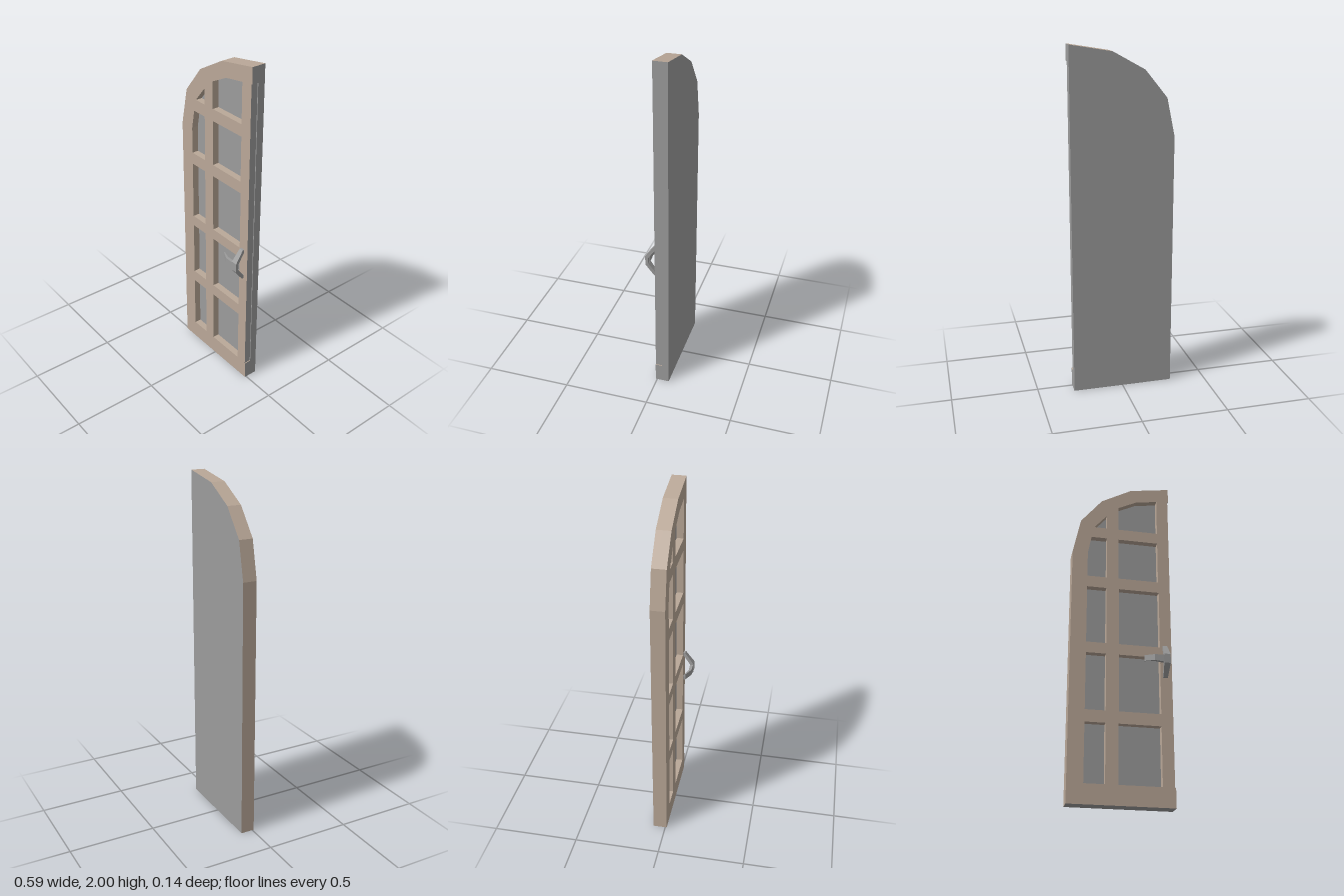
import * as THREE from 'three';

const wood = new THREE.MeshStandardMaterial({ color: 0xbaa898 });
wood.name = 'pale wood';
const grey = new THREE.MeshStandardMaterial({ color: 0x9c9c9c });
grey.name = 'grey metal';

const points = (list) => list.map(([x, y]) => new THREE.Vector2(x, y));

// Half arch, running from the top right corner round to the left foot
const arch = [[0.292, 2], [0.055, 1.96], [-0.125, 1.86], [-0.25, 1.705], [-0.295, 1.49], [-0.295, 0]];

function slab(name, outline, holes, z0, z1, isGrey) {
  const shape = new THREE.Shape(points(outline));
  shape.holes = holes.map((h) => new THREE.Path(points(h)));
  const geo = new THREE.ExtrudeGeometry(shape, { depth: z1 - z0, bevelEnabled: false });
  geo.translate(0, 0, z0);
  // Give each face its material by position and direction
  geo.clearGroups();
  const p = geo.attributes.position, n = geo.attributes.normal;
  for (let i = 0; i < p.count; i += 3) {
    const x = (p.getX(i) + p.getX(i + 1) + p.getX(i + 2)) / 3;
    const y = (p.getY(i) + p.getY(i + 1) + p.getY(i + 2)) / 3;
    const plain = (n.getX(i) > 0.9 && x > 0.28) || (n.getY(i) < -0.9 && y < 0.01);
    geo.addGroup(i, 3, plain || isGrey(n.getZ(i)) ? 1 : 0);
  }
  const mesh = new THREE.Mesh(geo, [wood, grey]);
  mesh.name = name;
  return mesh;
}

// Joins four-cornered cross-sections into a closed, flat-shaded solid
function loft(name, sections) {
  const pos = [];
  const quad = (a, b, c, d) => pos.push(...a, ...b, ...c, ...a, ...c, ...d);
  for (let s = 0; s < sections.length - 1; s++) {
    const A = sections[s], B = sections[s + 1];
    for (let i = 0; i < 4; i++) {
      const j = (i + 1) % 4;
      quad(A[i], A[j], B[j], B[i]);
    }
  }
  quad(...[...sections[0]].reverse());
  quad(...sections[sections.length - 1]);
  const geo = new THREE.BufferGeometry();
  geo.setAttribute('position', new THREE.Float32BufferAttribute(pos, 3));
  geo.computeVertexNormals();
  const mesh = new THREE.Mesh(geo, grey);
  mesh.name = name;
  return mesh;
}

export function createModel() {
  const door = new THREE.Group();
  door.name = 'archedDoor';

  // Backing slab whose front shows through as the panels
  door.add(slab('backPanel', [[-0.295, 0], [0.292, 0], ...arch.slice(0, -1)], [], -0.072, -0.03,
    (nz) => Math.abs(nz) > 0.5));

  // Panel openings: two columns of rectangles, cut by the arch at the top
  const rect = (x0, x1, y0, y1) => [[x0, y0], [x1, y0], [x1, y1], [x0, y1]];
  const holes = [];
  for (const [y0, y1] of [[0.11, 0.445], [0.515, 0.85], [0.915, 1.265]]) {
    holes.push(rect(-0.205, -0.09, y0, y1), rect(-0.018, 0.22, y0, y1));
  }
  holes.push(
    rect(-0.02, 0.217, 1.335, 1.6),
    [[-0.205, 1.335], [-0.09, 1.335], [-0.09, 1.6], [-0.184, 1.6], [-0.205, 1.49]],
    [[-0.168, 1.67], [-0.092, 1.67], [-0.092, 1.76]],
    [[-0.02, 1.67], [0.217, 1.67], [0.217, 1.9], [0.09, 1.88], [-0.02, 1.825]],
  );

  // Front frame, slightly set back along the opening edge
  door.add(slab('frontFrame', [
    [-0.295, 0], [0.292, 0], [0.292, 0.11], [0.287, 0.11], [0.287, 1.91], [0.292, 1.91],
    ...arch.slice(0, -1),
  ], holes, -0.03, 0.009, (nz) => nz < -0.5));

  // Handle: a bent strap with a lever pointing to the hinge side
  const handle = new THREE.Group();
  handle.name = 'handle';
  const strap = [ // inner y, z, outer y, z, half width
    [0.9, 0.007, 0.922, 0.007, 0.012],
    [0.9, 0.013, 0.922, 0.02, 0.013],
    [0.842, 0.055, 0.852, 0.071, 0.0185],
    [0.808, 0.055, 0.798, 0.071, 0.0185],
    [0.752, 0.013, 0.73, 0.02, 0.013],
    [0.752, 0.007, 0.73, 0.007, 0.012],
  ];
  const cx = 0.247;
  handle.add(loft('handleStrap', strap.map(([yi, zi, yo, zo, w]) =>
    [[cx - w, yi, zi], [cx + w, yi, zi], [cx + w, yo, zo], [cx - w, yo, zo]])));
  const lever = [ // x, low y, high y, back z, front z
    [0.25, 0.804, 0.846, 0.05, 0.07],
    [0.228, 0.804, 0.846, 0.051, 0.07],
    [0.175, 0.81, 0.845, 0.053, 0.068],
    [0.123, 0.81, 0.845, 0.037, 0.043],
  ];
  handle.add(loft('handleLever', lever.map(([x, y0, y1, z0, z1]) =>
    [[x, y0, z0], [x, y0, z1], [x, y1, z1], [x, y1, z0]])));
  door.add(handle);
  return door;
}
